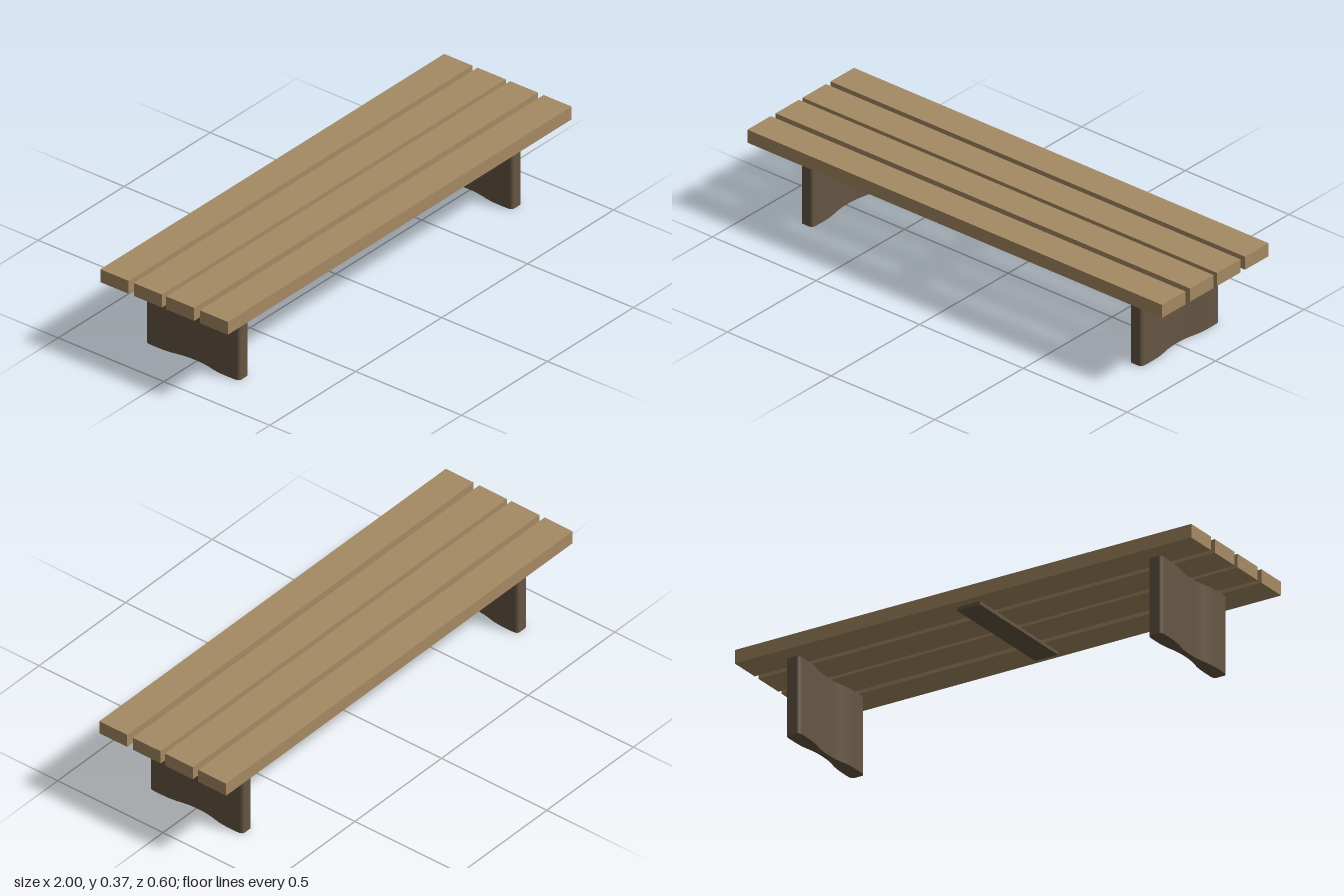
import * as THREE from 'three';

const slatMaterial = new THREE.MeshStandardMaterial({ color: 0xa68a64 });
const frameMaterial = new THREE.MeshStandardMaterial({ color: 0x665643 });

function box(name, material, [x0, x1], [y0, y1], [z0, z1]) {
  const mesh = new THREE.Mesh(new THREE.BoxGeometry(x1 - x0, y1 - y0, z1 - z0), material);
  mesh.position.set((x0 + x1) / 2, (y0 + y1) / 2, (z0 + z1) / 2);
  mesh.name = name;
  return mesh;
}

// Leg plan: rounded thick ends that taper in a smooth curve to a thin waist
function legGeometry(length, height) {
  const h = length / 2, wide = 0.03, waist = 0.0125, lobe = h - 0.06;
  const shape = new THREE.Shape();
  shape.moveTo(-0.014, -h);
  shape.lineTo(0.014, -h);
  shape.quadraticCurveTo(wide, -h, wide, -h + 0.025);
  shape.lineTo(wide, -lobe);
  shape.bezierCurveTo(wide, -lobe * 0.5, waist, -lobe * 0.5, waist, 0);
  shape.bezierCurveTo(waist, lobe * 0.5, wide, lobe * 0.5, wide, lobe);
  shape.lineTo(wide, h - 0.025);
  shape.quadraticCurveTo(wide, h, 0.014, h);
  shape.lineTo(-0.014, h);
  shape.quadraticCurveTo(-wide, h, -wide, h - 0.025);
  shape.lineTo(-wide, lobe);
  shape.bezierCurveTo(-wide, lobe * 0.5, -waist, lobe * 0.5, -waist, 0);
  shape.bezierCurveTo(-waist, -lobe * 0.5, -wide, -lobe * 0.5, -wide, -lobe);
  shape.lineTo(-wide, -h + 0.025);
  shape.quadraticCurveTo(-wide, -h, -0.014, -h);
  const geometry = new THREE.ExtrudeGeometry(shape, { depth: height, bevelEnabled: false, curveSegments: 10 });
  return geometry.rotateX(-Math.PI / 2);
}

export function createModel() {
  const bench = new THREE.Group();
  bench.name = 'bench';

  // Four seat planks with narrow gaps
  const planks = [[0.17, 0.302], [0.011, 0.143], [-0.142, -0.009], [-0.3, -0.167]];
  planks.forEach((z, i) =>
    bench.add(box(`seatSlat${i + 1}`, slatMaterial, [-1, 1], [0.312, 0.367], z)));

  // Cross brace under the middle, let into the planks
  bench.add(box('crossBrace', frameMaterial, [-0.05, 0.05], [0.298, 0.335], [-0.262, 0.259]));

  // Two legs, one near each end
  const geometry = legGeometry(0.442, 0.335);
  for (const side of [-1, 1]) {
    const leg = new THREE.Mesh(geometry, frameMaterial);
    leg.name = side > 0 ? 'leftLeg' : 'rightLeg';
    leg.position.set(side * 0.794, 0, -0.01);
    bench.add(leg);
  }
  return bench;
}
